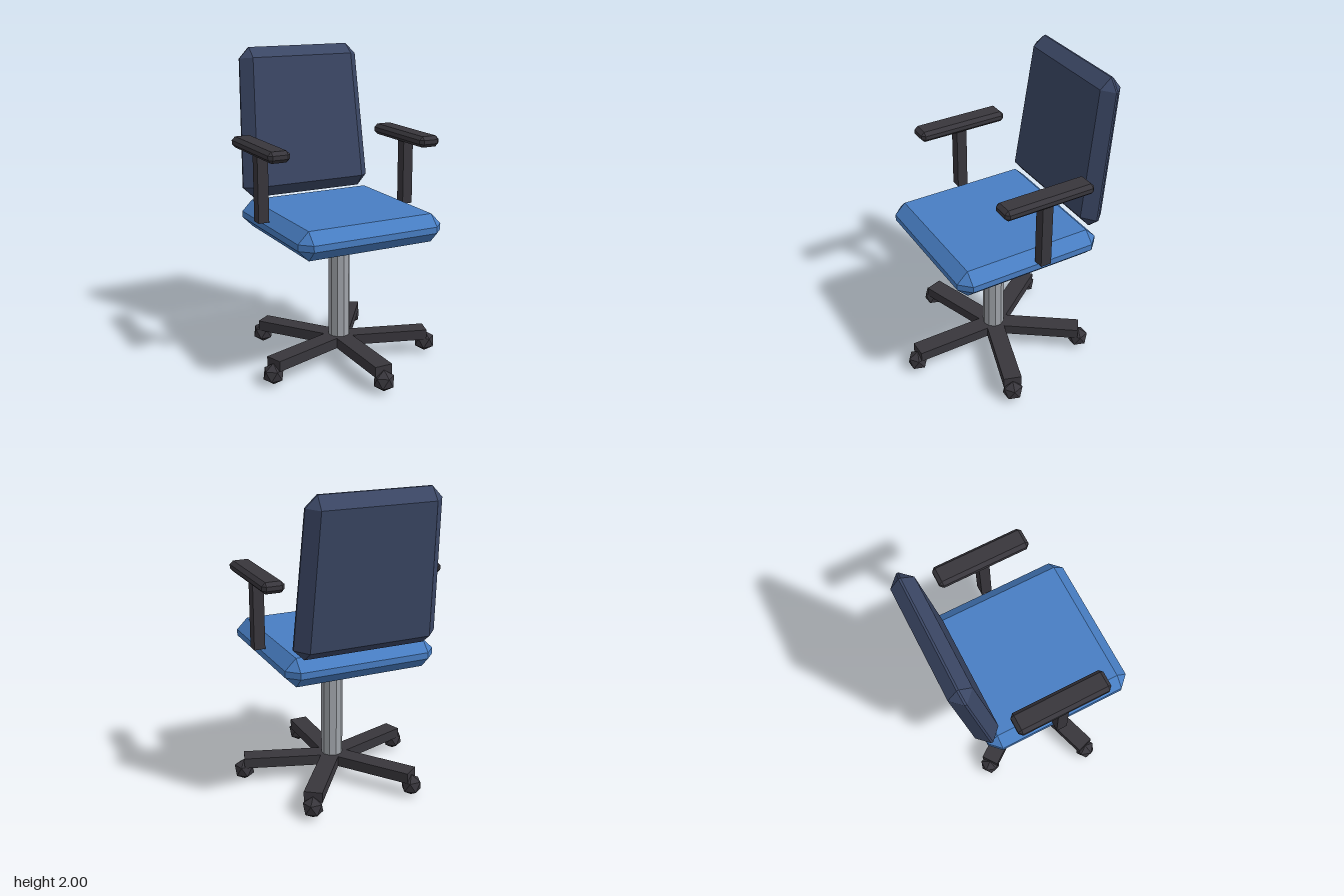
import * as THREE from 'three';
import { ConvexGeometry } from 'three/addons/geometries/ConvexGeometry.js';

const mat = (name, color) => {
  const m = new THREE.MeshStandardMaterial({ color });
  m.name = name;
  return m;
};

// Box with chamfered edges and corners; taper narrows x and z towards the top
function chamferBox(w, h, d, bevel, taper = 0) {
  const points = [];
  const half = [w / 2, h / 2, d / 2];
  for (const sx of [-1, 1]) for (const sy of [-1, 1]) for (const sz of [-1, 1]) {
    for (let axis = 0; axis < 3; axis++) {
      const [x, y, z] = half.map((v, i) => (i === axis ? v : v - bevel));
      const s = 1 - taper * (sy * y) / h;
      points.push(new THREE.Vector3(sx * x * s, sy * y, sz * z * s));
    }
  }
  return new ConvexGeometry(points);
}

export function createModel() {
  const seatBlue = mat('seat blue', 0x487ec3);
  const backNavy = mat('back navy', 0x3b4765);
  const darkPlastic = mat('dark plastic', 0x38363c);
  const steel = mat('steel', 0xa0a4aa);

  const model = new THREE.Group();
  model.name = 'officeChair';
  const add = (parent, name, geometry, material, x = 0, y = 0, z = 0) => {
    const mesh = new THREE.Mesh(geometry, material);
    mesh.name = name;
    mesh.position.set(x, y, z);
    parent.add(mesh);
    return mesh;
  };

  // Seat cushion and leaning, tapered backrest
  add(model, 'seat', chamferBox(0.98, 0.18, 0.98, 0.07), seatBlue, 0, 0.94, 0);
  const back = add(model, 'backrest', chamferBox(0.882, 0.974, 0.153, 0.07, 0.1), backNavy, 0, 1.515, -0.523);
  back.rotation.x = -0.12;

  // Column
  const columnGeo = new THREE.CylinderGeometry(0.07, 0.07, 0.75, 10).toNonIndexed();
  columnGeo.computeVertexNormals();
  add(model, 'column', columnGeo, steel, 0, 0.485, 0);

  // Armrests
  const padGeo = chamferBox(0.14, 0.07, 0.603, 0.022);
  const postGeo = new THREE.BoxGeometry(0.07, 0.435, 0.07);
  for (const [side, s] of [['left', 1], ['right', -1]]) {
    const arm = new THREE.Group();
    arm.name = side + 'Armrest';
    add(arm, side + 'ArmPad', padGeo, darkPlastic, s * 0.515, 1.44, -0.046);
    add(arm, side + 'ArmPost', postGeo, darkPlastic, s * 0.515, 1.2025, -0.042);
    model.add(arm);
  }

  // Five-legged base with a caster under each tip
  const legGeo = new THREE.BoxGeometry(0.116, 0.068, 0.58).translate(0, 0.134, 0.29);
  const casterGeo = new THREE.IcosahedronGeometry(0.07, 0)
    .rotateZ(Math.atan(2 / (1 + Math.sqrt(5))))
    .rotateY(Math.PI / 2);
  const base = new THREE.Group();
  base.name = 'base';
  for (let i = 0; i < 5; i++) {
    const leg = new THREE.Group();
    leg.name = 'legWithCaster' + (i + 1);
    add(leg, 'leg', legGeo, darkPlastic);
    add(leg, 'caster', casterGeo, darkPlastic, 0, 0.07, 0.582);
    leg.rotation.y = (i * Math.PI * 2) / 5;
    base.add(leg);
  }
  model.add(base);
  return model;
}
